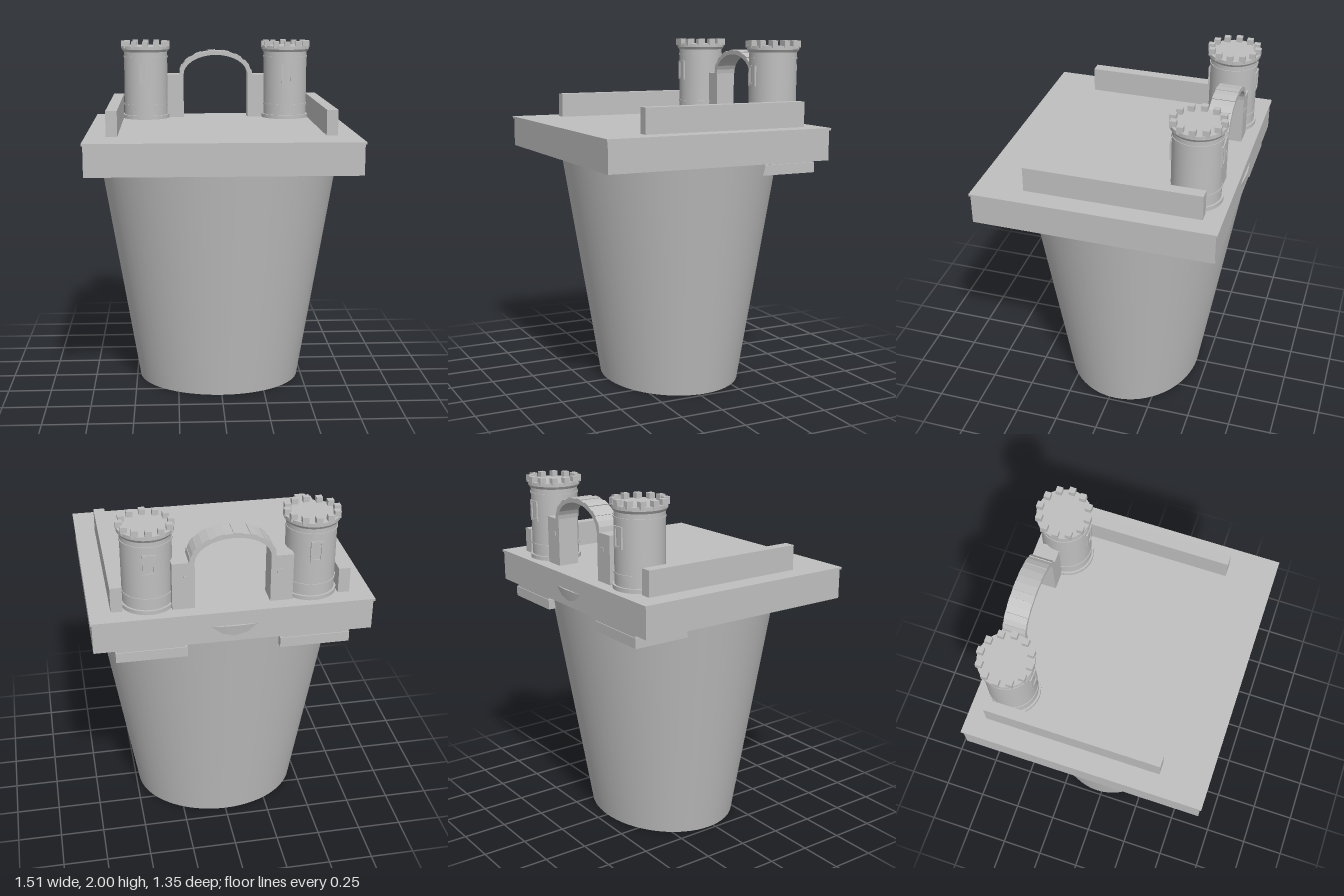
import * as THREE from 'three';

export function createModel() {
  const model = new THREE.Group();
  const stone = new THREE.MeshStandardMaterial({ color: 0xbfbfbf });
  stone.name = 'stone grey';

  function add(parent, name, geometry, x = 0, y = 0, z = 0) {
    const mesh = new THREE.Mesh(geometry, stone);
    mesh.name = name;
    mesh.position.set(x, y, z);
    parent.add(mesh);
    return mesh;
  }
  // Box given by its limits on each axis
  function block(parent, name, x0, x1, y0, y1, z0, z1) {
    return add(parent, name, new THREE.BoxGeometry(Math.abs(x1 - x0), y1 - y0, z1 - z0),
      (x0 + x1) / 2, (y0 + y1) / 2, (z0 + z1) / 2);
  }
  // Upright cylinder given by its lower and upper level
  function drum(parent, name, r, y0, y1, rTop = r) {
    return add(parent, name, new THREE.CylinderGeometry(rTop, r, y1 - y0, 32), 0, (y0 + y1) / 2, 0);
  }

  // Tapered oval tub: the radii grow by the same amount in x and z
  const tubHeight = 1.44, flare = 0.1636;
  const tubGeometry = new THREE.CylinderGeometry(1, 1, tubHeight, 64);
  tubGeometry.translate(0, tubHeight / 2, 0);
  const p = tubGeometry.attributes.position;
  for (let i = 0; i < p.count; i++) {
    const grow = flare * p.getY(i);
    p.setX(i, p.getX(i) * (0.48 + grow));
    p.setZ(i, p.getZ(i) * (0.40 + grow));
  }
  // Smooth wall normals that follow the oval and the taper
  const n = tubGeometry.attributes.normal;
  for (let i = 0; i < n.count; i++) {
    if (Math.abs(n.getY(i)) > 0.9) continue;
    const v = new THREE.Vector3(n.getX(i) / 0.59, -flare / 0.55, n.getZ(i) / 0.51).normalize();
    n.setXYZ(i, v.x, v.y, v.z);
  }
  add(model, 'tub', tubGeometry, 0, 0, -0.035);

  // Square platform with a thin lip
  block(model, 'platform', -0.745, 0.745, 1.345, 1.515, -0.66, 0.668);
  block(model, 'platformLip', -0.753, 0.753, 1.512, 1.525, -0.668, 0.675);

  // Window frame with an opening, shown on the front and back of a tower
  const frame = new THREE.Shape();
  frame.moveTo(-0.035, -0.058).lineTo(0.035, -0.058).lineTo(0.035, 0.058).lineTo(-0.035, 0.058);
  const opening = new THREE.Path();
  opening.moveTo(-0.02, -0.045).lineTo(-0.02, 0.045).lineTo(0.02, 0.045).lineTo(0.02, -0.045);
  frame.holes.push(opening);
  const frameGeometry = new THREE.ExtrudeGeometry(frame, { depth: 0.011, bevelEnabled: false });

  for (const side of [-1, 1]) {
    // Round tower
    const tower = new THREE.Group();
    tower.name = side > 0 ? 'leftTower' : 'rightTower';
    tower.position.set(side * 0.435, 0, -0.48);
    model.add(tower);
    drum(tower, 'towerBody', 0.134, 1.52, 1.96);
    drum(tower, 'towerFoot', 0.145, 1.52, 1.548);
    drum(tower, 'lowerBand', 0.138, 1.605, 1.615);
    drum(tower, 'upperBand', 0.138, 1.898, 1.908);
    drum(tower, 'towerCollar', 0.138, 1.935, 1.95, 0.148);
    drum(tower, 'towerCap', 0.148, 1.95, 1.97);
    for (let i = 0; i < 12; i++) {
      const a = i * Math.PI / 6;
      add(tower, 'battlement', new THREE.BoxGeometry(0.034, 0.04, 0.034),
        Math.cos(a) * 0.133, 1.98, Math.sin(a) * 0.133);
    }
    for (const face of [0, Math.PI]) {
      const holder = new THREE.Group();
      holder.name = 'window';
      holder.rotation.y = face;
      add(holder, 'windowFrame', frameGeometry, 0, 1.805, 0.128);
      tower.add(holder);
    }

    // Gate post with small plates
    block(model, 'gatePost', side * 0.2, side * 0.32, 1.52, 1.79, -0.592, -0.472);
    block(model, 'postPlate', side * 0.235, side * 0.26, 1.69, 1.715, -0.596, -0.59);

    // Side rail
    block(model, 'sideRail', side * 0.575, side * 0.638, 1.52, 1.666, -0.565, 0.41);

    // Bracket below the back corner, with a slanted front end
    const profile = new THREE.Shape();
    profile.moveTo(0.31, 1.265).lineTo(0.645, 1.265).lineTo(0.645, 1.322).lineTo(0.325, 1.322);
    const foot = new THREE.ExtrudeGeometry(profile, { depth: 0.38, bevelEnabled: false });
    foot.rotateY(Math.PI / 2);
    add(model, 'bracket', foot, side > 0 ? 0.25 : -0.63, 0, 0);
    block(model, 'bracketNeck', side * 0.26, side * 0.62, 1.32, 1.35, -0.64, -0.355);
  }

  // Arch made of separate stones
  const arch = new THREE.Group();
  arch.name = 'arch';
  model.add(arch);
  const stones = 16;
  for (let i = 0; i < stones; i++) {
    const a = i * Math.PI / stones, b = (i + 1) * Math.PI / stones;
    const outer = i % 2 ? 0.226 : 0.23;
    const wedge = new THREE.Shape();
    wedge.moveTo(Math.cos(a) * 0.2, Math.sin(a) * 0.122);
    wedge.lineTo(Math.cos(a) * outer, Math.sin(a) * (outer - 0.08));
    wedge.lineTo(Math.cos(b) * outer, Math.sin(b) * (outer - 0.08));
    wedge.lineTo(Math.cos(b) * 0.2, Math.sin(b) * 0.122);
    add(arch, 'archStone', new THREE.ExtrudeGeometry(wedge, { depth: 0.126, bevelEnabled: false }),
      0, 1.79, -0.595);
  }
  return model;
}
